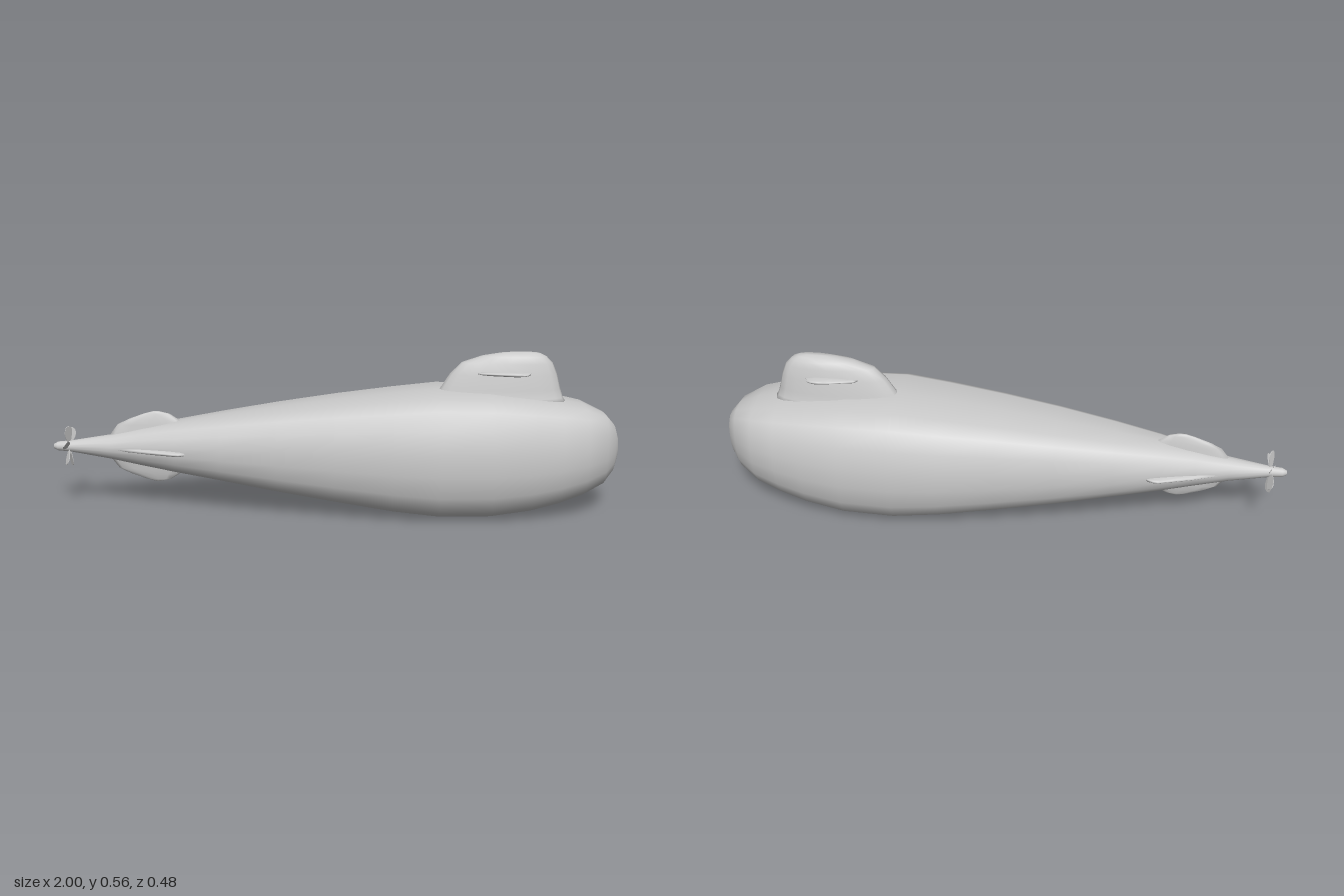
import * as THREE from 'three';

const AXIS_Y = 0.222;
const material = new THREE.MeshStandardMaterial({ color: 0xcccccc });
const thinMaterial = new THREE.MeshStandardMaterial({ color: 0xcccccc, side: THREE.DoubleSide });

// Skin a list of closed rings and cap both ends
function loft(rings) {
  const n = rings[0].length;
  const last = rings.length - 1;
  const points = rings.flat();
  const index = [];
  for (let i = 0; i < last; i++) {
    for (let j = 0; j < n; j++) {
      const k = (j + 1) % n;
      const a = i * n + j, b = i * n + k;
      index.push(a, b, a + n, b, b + n, a + n);
    }
  }
  for (const i of [0, last]) {
    const centre = new THREE.Vector3();
    rings[i].forEach((p) => centre.addScaledVector(p, 1 / n));
    const c = points.push(centre) - 1;
    for (let j = 0; j < n; j++) {
      const a = i * n + j, b = i * n + ((j + 1) % n);
      if (i === 0) index.push(c, b, a);
      else index.push(c, a, b);
    }
  }
  const geometry = new THREE.BufferGeometry().setFromPoints(points);
  geometry.setIndex(index);
  geometry.computeVertexNormals();
  return geometry;
}

function addMesh(parent, name, geometry, mat = material) {
  const mesh = new THREE.Mesh(geometry, mat);
  mesh.name = name;
  parent.add(mesh);
  return mesh;
}

// Hull ring: 18 points, blended from an ellipse (0) to a rounded square (1)
const SQUARE = [[1, 0.18], [0.94, 0.54], [0.8, 0.83], [0.55, 0.975], [0, 1]];
function hullRing([x, bottom, top, halfWidth, squareness]) {
  const mid = (top + bottom) / 2, halfHeight = (top - bottom) / 2;
  return Array.from({ length: 18 }, (_, i) => {
    const t = THREE.MathUtils.degToRad(10 + 20 * i);
    const c = Math.cos(t), s = Math.sin(t);
    const q = i % 9;
    const [sc, ss] = SQUARE[q <= 4 ? q : 8 - q];
    const u = THREE.MathUtils.lerp(c, Math.sign(c) * sc, squareness);
    const v = THREE.MathUtils.lerp(s, Math.sign(s) * ss, squareness);
    return new THREE.Vector3(x, mid + v * halfHeight, -u * halfWidth);
  });
}

// Upright foil from layers of [height, aft x, fore x, half thickness]
function foil(layers, sides = 16, fullness = 0.85) {
  const curve = (v) => Math.sign(v) * Math.abs(v) ** fullness;
  return loft(layers.map(([y, x0, x1, w]) => Array.from({ length: sides }, (_, i) => {
    const t = (i / sides) * Math.PI * 2;
    const s = curve(Math.sin(t));
    // the trailing half is slimmer than the leading half
    const taper = s < 0 ? 1 + 0.3 * s : 1;
    return new THREE.Vector3((x0 + x1) / 2 + s * (x1 - x0) / 2, y, curve(Math.cos(t)) * w * taper);
  })));
}

export function createModel() {
  const model = new THREE.Group();
  model.name = 'submarine';

  // Hull stations from stern to bow: x, bottom, top, half width, squareness
  addMesh(model, 'hull', loft([
    [-1, 0.214, 0.23, 0.008, 0],
    [-0.985, 0.206, 0.238, 0.016, 0],
    [-0.94, 0.202, 0.242, 0.02, 0],
    [-0.8, 0.178, 0.264, 0.044, 0],
    [-0.68, 0.155, 0.292, 0.072, 0.2],
    [-0.56, 0.136, 0.316, 0.102, 0.5],
    [-0.4, 0.113, 0.341, 0.133, 0.8],
    [-0.2, 0.081, 0.37, 0.166, 1],
    [0, 0.05, 0.397, 0.198, 1],
    [0.2, 0.02, 0.42, 0.226, 1],
    [0.36, 0.004, 0.436, 0.242, 1],
    [0.54, 0.005, 0.432, 0.236, 1],
    [0.68, 0.022, 0.415, 0.21, 1],
    [0.78, 0.044, 0.4, 0.186, 0.95],
    [0.87, 0.073, 0.383, 0.16, 0.85],
    [0.945, 0.103, 0.35, 0.1, 0.7],
    [0.98, 0.142, 0.31, 0.056, 0.5],
    [0.997, 0.19, 0.26, 0.016, 0.3],
    [1, 0.212, 0.238, 0.004, 0],
  ].map(hullRing)));

  // Conning tower
  addMesh(model, 'sail', foil([
    [0.37, 0.33, 0.82, 0.078],
    [0.41, 0.348, 0.795, 0.067],
    [0.44, 0.368, 0.785, 0.062],
    [0.49, 0.4, 0.772, 0.055],
    [0.53, 0.44, 0.755, 0.045],
    [0.553, 0.51, 0.732, 0.037],
    [0.563, 0.57, 0.71, 0.022],
    [0.567, 0.61, 0.68, 0.006],
  ], 20, 0.75));

  // Small planes on both sides of the sail
  const sailPlane = foil([
    [0.03, 0.48, 0.69, 0.009],
    [0.055, 0.5, 0.675, 0.008],
    [0.072, 0.58, 0.665, 0.006],
    [0.077, 0.62, 0.652, 0.004],
  ], 10);
  for (const side of [1, -1]) {
    const plane = addMesh(model, side > 0 ? 'frontSailPlane' : 'backSailPlane', sailPlane);
    plane.position.y = 0.498;
    plane.rotation.x = side * Math.PI / 2;
  }

  // Tail fins, the upright pair taller than the level pair
  const rudder = foil([
    [0.02, -0.81, -0.48, 0.026],
    [0.04, -0.8, -0.5, 0.022],
    [0.08, -0.77, -0.53, 0.017],
    [0.1, -0.73, -0.555, 0.014],
    [0.12, -0.675, -0.585, 0.009],
    [0.128, -0.645, -0.62, 0.005],
  ], 12);
  const sternPlane = foil([
    [0.02, -0.81, -0.47, 0.016],
    [0.05, -0.77, -0.49, 0.013],
    [0.085, -0.68, -0.505, 0.01],
    [0.113, -0.585, -0.52, 0.007],
    [0.12, -0.56, -0.54, 0.004],
  ], 12);
  ['upperRudder', 'frontSternPlane', 'lowerRudder', 'backSternPlane'].forEach((name, i) => {
    const fin = addMesh(model, name, i % 2 ? sternPlane : rudder);
    fin.position.y = AXIS_Y;
    fin.rotation.x = i * Math.PI / 2;
  });

  // Propeller with pitched, swept blades
  const propeller = new THREE.Group();
  propeller.name = 'propeller';
  propeller.position.set(-0.945, AXIS_Y, 0);
  model.add(propeller);
  const outline = new THREE.Shape();
  outline.moveTo(-0.006, 0.012);
  outline.bezierCurveTo(-0.014, 0.035, -0.02, 0.06, -0.006, 0.076);
  outline.bezierCurveTo(0.006, 0.082, 0.02, 0.072, 0.019, 0.058);
  outline.bezierCurveTo(0.018, 0.04, 0.01, 0.025, 0.006, 0.012);
  const blade = new THREE.ExtrudeGeometry(outline, { depth: 0.002, bevelEnabled: false, curveSegments: 5 });
  blade.translate(0, 0, -0.001).rotateY(Math.PI / 2 - 0.6);
  const count = 6;
  for (let i = 0; i < count; i++) {
    addMesh(propeller, 'propellerBlade', blade, thinMaterial).rotation.x = (i / count) * Math.PI * 2 + 0.25;
  }

  return model;
}
